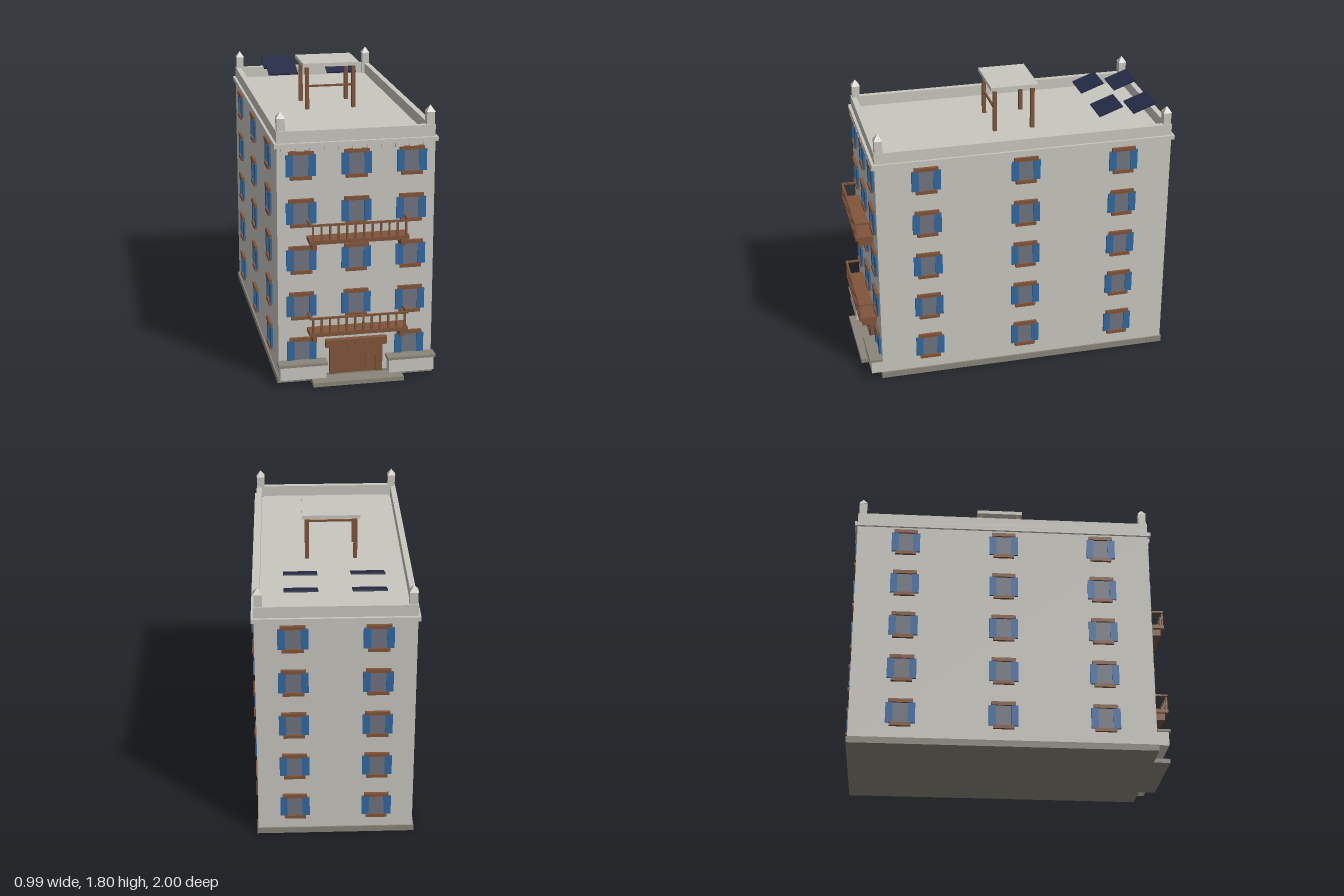
import * as THREE from 'three';

const mat = (name, color) => {
  const m = new THREE.MeshStandardMaterial({ color });
  m.name = name;
  return m;
};

export function createModel() {
  const wall = mat('pale stone', 0xc9c7bf);
  const plinth = mat('dark stone', 0x8a867b);
  const wood = mat('brown wood', 0x80553a);
  const blue = mat('blue shutter', 0x3069a2);
  const glass = mat('grey glass', 0x70747f);
  const solar = mat('navy panel', 0x262c47);

  const model = new THREE.Group();
  model.name = 'townBuilding';
  const ZC = -0.045; // middle of the building's depth
  const HX = 0.475, HZ = 0.933, FRONT = ZC + HZ;

  // Box given by its limits on each axis
  const box = (parent, name, m, x0, x1, y0, y1, z0, z1) => {
    const mesh = new THREE.Mesh(new THREE.BoxGeometry(x1 - x0, y1 - y0, z1 - z0), m);
    mesh.position.set((x0 + x1) / 2, (y0 + y1) / 2, (z0 + z1) / 2);
    mesh.name = name;
    parent.add(mesh);
    return mesh;
  };
  const group = (name, parent = model) => {
    const g = new THREE.Group();
    g.name = name;
    parent.add(g);
    return g;
  };

  // Main body, plinth and cornice
  box(model, 'base', plinth, -0.485, 0.485, 0, 0.04, ZC - 0.94, ZC + 0.94);
  box(model, 'body', wall, -HX, HX, 0.04, 1.48, ZC - HZ, FRONT);
  box(model, 'cornice', wall, -0.49, 0.49, 1.475, 1.502, ZC - 0.95, ZC + 0.95);

  // Parapet around the flat roof
  const parapet = group('parapet');
  const T = 0.035;
  for (const s of [-1, 1]) {
    const x = s * (HX - T / 2), z = ZC + s * (HZ - T / 2);
    box(parapet, 'parapetSide', wall, x - T / 2, x + T / 2, 1.5, 1.572, ZC - HZ, ZC + HZ);
    box(parapet, 'parapetEnd', wall, -HX + T, HX - T, 1.5, 1.572, z - T / 2, z + T / 2);
  }

  // Corner posts with pyramid caps
  for (const sx of [-1, 1]) for (const sz of [-1, 1]) {
    const post = group('cornerPost');
    post.position.set(sx * 0.447, 0, ZC + sz * 0.903);
    box(post, 'postShaft', wall, -0.024, 0.024, 1.5, 1.648, -0.024, 0.024);
    const cap = new THREE.Mesh(
      new THREE.ConeGeometry(0.027 * Math.SQRT2, 0.04, 4, 1).rotateY(Math.PI / 4).toNonIndexed(), wall);
    cap.geometry.computeVertexNormals();
    cap.position.y = 1.668;
    cap.name = 'postCap';
    post.add(cap);
  }

  // Dentils under the front cornice
  for (let i = 0; i < 11; i++) {
    const x = -0.425 + i * 0.085;
    box(model, 'dentil', wall, x - 0.024, x + 0.024, 1.452, 1.476, FRONT, FRONT + 0.016);
  }

  // Window with shutters, lintel and sill, facing +z
  const addWindow = (parent, x, y) => {
    const w = group('window', parent);
    w.position.set(x, y, 0);
    box(w, 'pane', glass, -0.048, 0.048, -0.065, 0.065, 0, 0.005);
    for (const s of [-1, 1]) {
      box(w, 'shutter', blue, s * 0.068 - 0.022, s * 0.068 + 0.022, -0.065, 0.065, 0, 0.012);
    }
    box(w, 'lintel', wood, -0.075, 0.075, 0.065, 0.088, 0, 0.018);
    box(w, 'sill', wood, -0.065, 0.065, -0.086, -0.065, 0, 0.018);
  };
  const FLOOR = 0.2915;
  const facade = (name, px, pz, turn, columns, skipDoor) => {
    const f = group(name);
    f.position.set(px, 0, pz);
    f.rotation.y = turn;
    for (let i = 0; i < 5; i++) for (const x of columns) {
      if (skipDoor && i === 0 && x === 0) continue;
      addWindow(f, x, 0.2 + i * FLOOR);
    }
  };
  facade('frontWindows', 0, FRONT, 0, [-0.333, 0, 0.333], true);
  facade('backWindows', 0, ZC - HZ, Math.PI, [-0.25, 0.25]);
  facade('leftWindows', HX, ZC, Math.PI / 2, [-0.623, 0, 0.623]);
  facade('rightWindows', -HX, ZC, -Math.PI / 2, [-0.623, 0, 0.623]);

  // Balconies
  for (const y of [0.338, 0.338 + 2 * FLOOR]) {
    const b = group('balcony');
    b.position.set(0, y, FRONT);
    box(b, 'balconyFloor', wood, -0.3, 0.3, -0.012, 0.012, 0, 0.112);
    for (const s of [-1, 1]) {
      box(b, 'bracket', wood, s * 0.267 - 0.013, s * 0.267 + 0.013, -0.056, -0.012, 0, 0.092);
      box(b, 'sideRail', wood, s * 0.294 - 0.006, s * 0.294 + 0.006, 0.099, 0.111, 0, 0.1);
    }
    box(b, 'frontRail', wood, -0.3, 0.3, 0.099, 0.111, 0.1, 0.112);
    for (let i = 0; i < 12; i++) {
      const x = -0.28 + i * 0.0509;
      box(b, 'baluster', wood, x - 0.006, x + 0.006, 0.012, 0.1, 0.1, 0.111);
    }
  }

  // Studded entrance door
  const door = group('entrance');
  door.position.z = FRONT;
  box(door, 'doorLeaf', wood, -0.124, 0.124, 0.04, 0.217, 0, 0.016);
  for (const s of [-1, 1]) {
    box(door, 'doorJamb', wood, s * 0.1435 - 0.0195, s * 0.1435 + 0.0195, 0.04, 0.217, 0, 0.026);
  }
  box(door, 'doorLintel', wood, -0.19, 0.19, 0.217, 0.264, 0, 0.036);
  const stud = (x, y, z) => box(door, 'stud', wood, x - 0.01, x + 0.01, y - 0.01, y + 0.01, z, z + 0.007);
  for (const y of [0.08, 0.13, 0.18]) for (const x of [-0.071, 0, 0.071]) stud(x, y, 0.016);
  for (let i = -2; i <= 2; i++) stud(i * 0.05, 0.24, 0.036);

  // Low walls beside the door, and the doorstep
  for (const s of [-1, 1]) {
    const x = s * 0.335;
    box(model, 'lowWall', wall, x - 0.14, x + 0.14, 0.04, 0.125, FRONT, 0.96);
    box(model, 'lowWallCap', plinth, x - 0.15, x + 0.15, 0.125, 0.142, FRONT, 0.97);
  }
  box(model, 'doorstep', plinth, -0.28, 0.28, 0, 0.027, FRONT, 1);

  // Roof shelter
  const shelter = group('roofShelter');
  shelter.position.z = -0.048;
  box(shelter, 'shelterTop', wall, -0.18, 0.18, 1.777, 1.8, -0.15, 0.15);
  for (const sx of [-1, 1]) for (const sz of [-1, 1]) {
    box(shelter, 'shelterLeg', wood, sx * 0.15 - 0.012, sx * 0.15 + 0.012, 1.5, 1.777,
      sz * 0.12 - 0.012, sz * 0.12 + 0.012);
  }
  box(shelter, 'crossbar', wood, -0.14, 0.14, 1.644, 1.656, 0.114, 0.126);

  // Tilted solar panels
  for (const x of [-0.2, 0.2]) for (const z of [-0.638, -0.86]) {
    const p = box(model, 'solarPanel', solar, x - 0.1, x + 0.1, 1.616, 1.626, z - 0.08, z + 0.08);
    p.rotation.x = 0.35;
  }
  return model;
}
